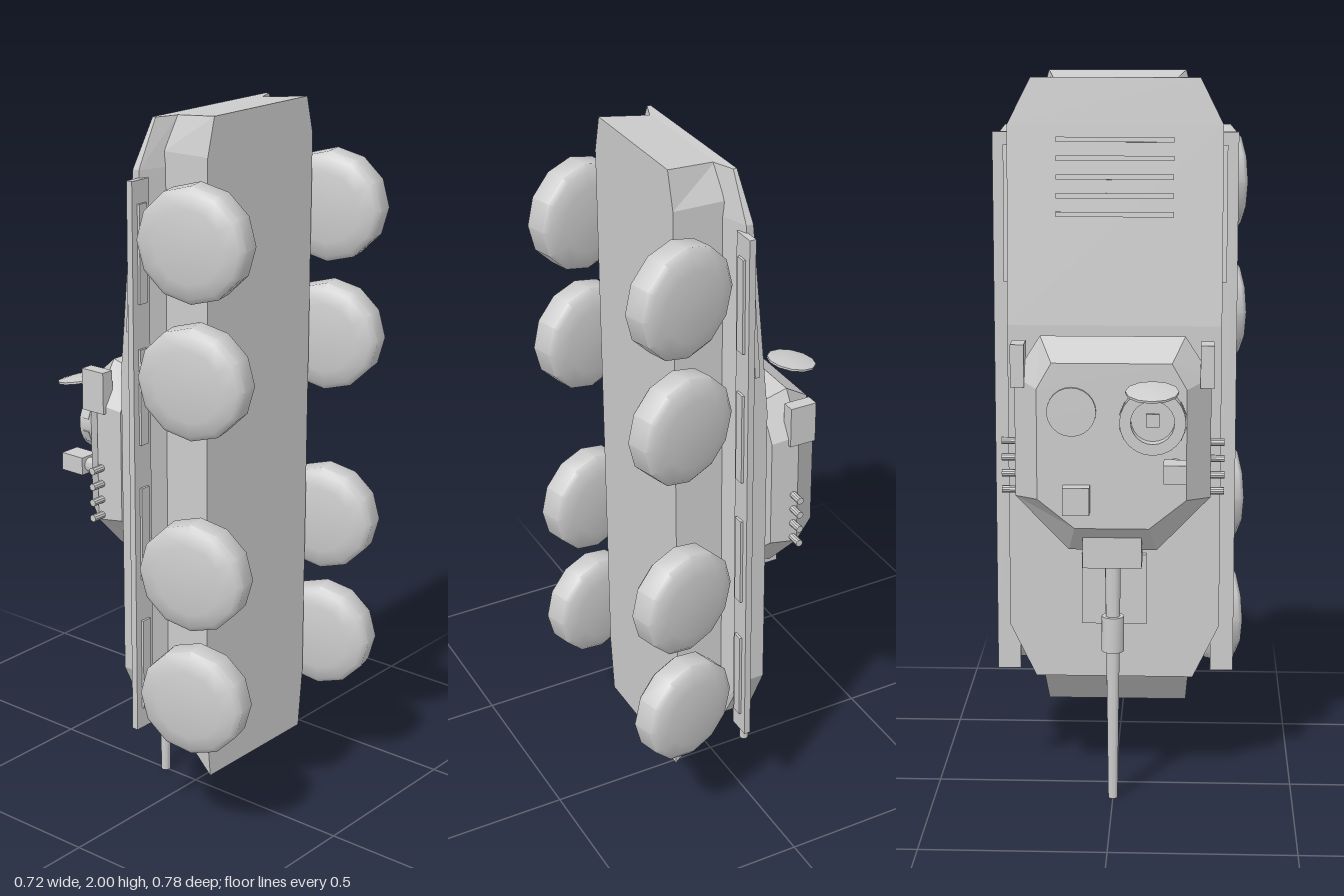
import * as THREE from 'three';
import { toCreasedNormals, mergeVertices } from 'three/addons/utils/BufferGeometryUtils.js';

export function createModel() {
  const root = new THREE.Group();
  root.name = 'wheeledArmouredVehicle';
  const grey = new THREE.MeshStandardMaterial({ color: 0xcccccc });
  grey.name = 'plain grey';

  const add = (name, geo, x = 0, y = 0, z = 0, parent = root) => {
    const m = new THREE.Mesh(geo, grey);
    m.name = name;
    m.position.set(x, y, z);
    parent.add(m);
    return m;
  };
  // box from its lower and upper limits
  const box = (name, x0, x1, y0, y1, z0, z1) =>
    add(name, new THREE.BoxGeometry(x1 - x0, y1 - y0, z1 - z0),
      (x0 + x1) / 2, (y0 + y1) / 2, (z0 + z1) / 2);
  const crease = (geo, angle = 0.6) => toCreasedNormals(geo, angle);
  const cyl = (r0, r1, h, n = 24) => crease(new THREE.CylinderGeometry(r0, r1, h, n));

  // faceted solid through matching rings of points
  function loft(rings) {
    const pos = [];
    const tri = (a, b, c) => pos.push(...a, ...b, ...c);
    const n = rings[0].length;
    for (let k = 0; k < rings.length - 1; k++) {
      const a = rings[k], b = rings[k + 1];
      for (let i = 0; i < n; i++) {
        const j = (i + 1) % n;
        tri(a[i], a[j], b[j]);
        tri(a[i], b[j], b[i]);
      }
    }
    const s = rings[0], e = rings[rings.length - 1];
    for (let i = 1; i < n - 1; i++) {
      tri(s[0], s[i + 1], s[i]);
      tri(e[0], e[i], e[i + 1]);
    }
    const g = new THREE.BufferGeometry();
    g.setAttribute('position', new THREE.Float32BufferAttribute(pos, 3));
    g.computeVertexNormals();
    return g;
  }

  // lower hull: [top y, top half width, belly y, belly half width]
  add('lowerHull', loft([
    [0.33, 0.21, 0.175, 0.2],
    [0.36, 0.218, 0.34, 0.216],
    [1.9, 0.218, 1.9, 0.216],
    [1.985, 0.17, 2.0, 0.19],
  ].map(([ty, tw, by, bw]) => [
    [tw, ty, 0.08], [-tw, ty, 0.08], [-bw, by, 0.22], [bw, by, 0.22],
  ])));

  // upper hull: [y, half width, deck z, side lower z, inner half width]
  add('upperHull', loft([
    [0.32, 0.22, -0.008, 0.07, 0.2],
    [0.47, 0.293, -0.008, 0.06, 0.215],
    [1.32, 0.293, -0.008, 0.06, 0.215],
    [1.86, 0.293, 0.04, 0.06, 0.215],
    [1.985, 0.23, 0.052, 0.062, 0.17],
  ].map(([y, w, tz, sz, iw]) => [
    [w, y, tz], [-w, y, tz], [-w, y, sz], [-iw, y, 0.085], [iw, y, 0.085], [w, y, sz],
  ])));

  // engine deck slats
  const slope = Math.atan2(0.06, 0.665);
  for (let i = 0; i < 5; i++) {
    const y = 1.62 + i * 0.05;
    add('deckSlat', new THREE.BoxGeometry(0.32, 0.014, 0.02), 0, y, -0.008 + (y - 1.32) * 0.09)
      .rotation.x = slope;
  }
  box('driverHatch', -0.09, 0.09, 0.48, 0.68, -0.026, 0);

  // wheels, rails and side bars
  const tyre = crease(mergeVertices(new THREE.LatheGeometry([
    [0, -0.053], [0.095, -0.053], [0.135, -0.043], [0.15, -0.03],
    [0.15, 0.03], [0.135, 0.043], [0.095, 0.053], [0, 0.053],
  ].map(([r, h]) => new THREE.Vector2(r, h)), 12).deleteAttribute('uv').deleteAttribute('normal')), 0.9);
  for (const s of [1, -1]) {
    for (const y of [0.45, 0.81, 1.34, 1.70]) {
      const w = add('wheel', tyre, s * 0.285, y, 0.24);
      w.rotation.set(0, Math.PI / 12, Math.PI / 2);
    }
    add('sideRail', new THREE.BoxGeometry(0.065, 1.52, 0.018), s * 0.302, 1.08, 0.064);
    for (let i = 0; i < 4; i++)
      add('railBracket', new THREE.BoxGeometry(0.03, 0.26, 0.008), s * 0.3, 0.51 + i * 0.38, 0.076);
    add('sideBar', new THREE.BoxGeometry(0.018, 0.37, 0.014), s * 0.296, 1.62, 0.042)
      .rotation.x = slope * 0.8;
  }

  // turret: eight-sided rings stacked away from the deck
  const ring = (z, rw, ry, sw, sy1, sy0, fw, fy) => [
    [-rw, ry, z], [rw, ry, z], [sw, sy1, z], [sw, sy0, z],
    [fw, fy, z], [-fw, fy, z], [-sw, sy0, z], [-sw, sy1, z],
  ];
  add('turretBody', loft([
    ring(-0.045, 0.195, 1.29, 0.257, 1.19, 0.88, 0.12, 0.76),
    ring(-0.122, 0.195, 1.31, 0.265, 1.2, 0.87, 0.12, 0.72),
    ring(-0.205, 0.16, 1.25, 0.2, 1.18, 0.88, 0.1, 0.8),
  ]));
  add('turretRing', cyl(0.171, 0.171, 0.035, 32), 0, 0.945, -0.0315).rotation.x = Math.PI / 2;
  add('turretPivot', cyl(0.085, 0.085, 0.02), 0, 0.945, -0.006).rotation.x = Math.PI / 2;

  // main gun
  box('mantlet', -0.08, 0.08, 0.68, 0.78, -0.17, -0.06);
  add('gunBarrel', cyl(0.022, 0.013, 0.72, 16), 0, 0.36, -0.115);
  add('gunSleeve', cyl(0.031, 0.031, 0.1, 16), 0, 0.48, -0.115);

  // cupola with a hollow rim
  const cupola = new THREE.Group();
  cupola.name = 'cupola';
  cupola.position.set(-0.11, 1.1, -0.2);
  cupola.rotation.x = -Math.PI / 2;
  root.add(cupola);
  add('cupolaRim', crease(new THREE.LatheGeometry([
    [0, 0.012], [0.058, 0.012], [0.058, 0.05], [0.088, 0.05], [0.088, 0],
  ].reverse().map(([r, h]) => new THREE.Vector2(r, h)), 24)), 0, 0, 0, cupola);
  add('cupolaSeat', new THREE.BoxGeometry(0.035, 0.014, 0.035), 0, 0.016, 0, cupola);
  for (let i = 0; i < 8; i++) {
    const a = (i + 0.5) * Math.PI / 4;
    add('periscope', new THREE.BoxGeometry(0.034, 0.02, 0.01),
      Math.sin(a) * 0.084, 0.027, Math.cos(a) * 0.084, cupola).rotation.y = a;
  }
  // raised hatch lid, slightly domed
  add('openHatchLid', crease(new THREE.LatheGeometry([
    [0, -0.006], [0.07, -0.003], [0.07, 0.003], [0.035, 0.01], [0, 0.01],
  ].map(([r, h]) => new THREE.Vector2(r, h)), 12)), -0.11, 1.195, -0.318).rotation.x = -0.2;

  // roof fittings
  add('closedHatch', cyl(0.066, 0.066, 0.02), 0.107, 1.12, -0.205).rotation.x = Math.PI / 2;
  box('gunnerSight', 0.058, 0.13, 0.845, 0.92, -0.245, -0.2);
  add('sensorPost', cyl(0.02, 0.02, 0.05, 12), -0.17, 0.975, -0.22).rotation.x = Math.PI / 2;
  box('sensorBox', -0.2, -0.14, 0.95, 1.0, -0.317, -0.242);

  // side boxes and smoke tubes
  for (const s of [1, -1]) {
    add('stowageBox', new THREE.BoxGeometry(0.037, 0.115, 0.075), s * 0.254, 1.235, -0.13);
    for (let i = 0; i < 4; i++)
      add('smokeTube', cyl(0.01, 0.01, 0.06, 10), s * 0.272, 0.885 + i * 0.045, -0.11)
        .rotation.z = Math.PI / 2;
  }
  return root;
}
